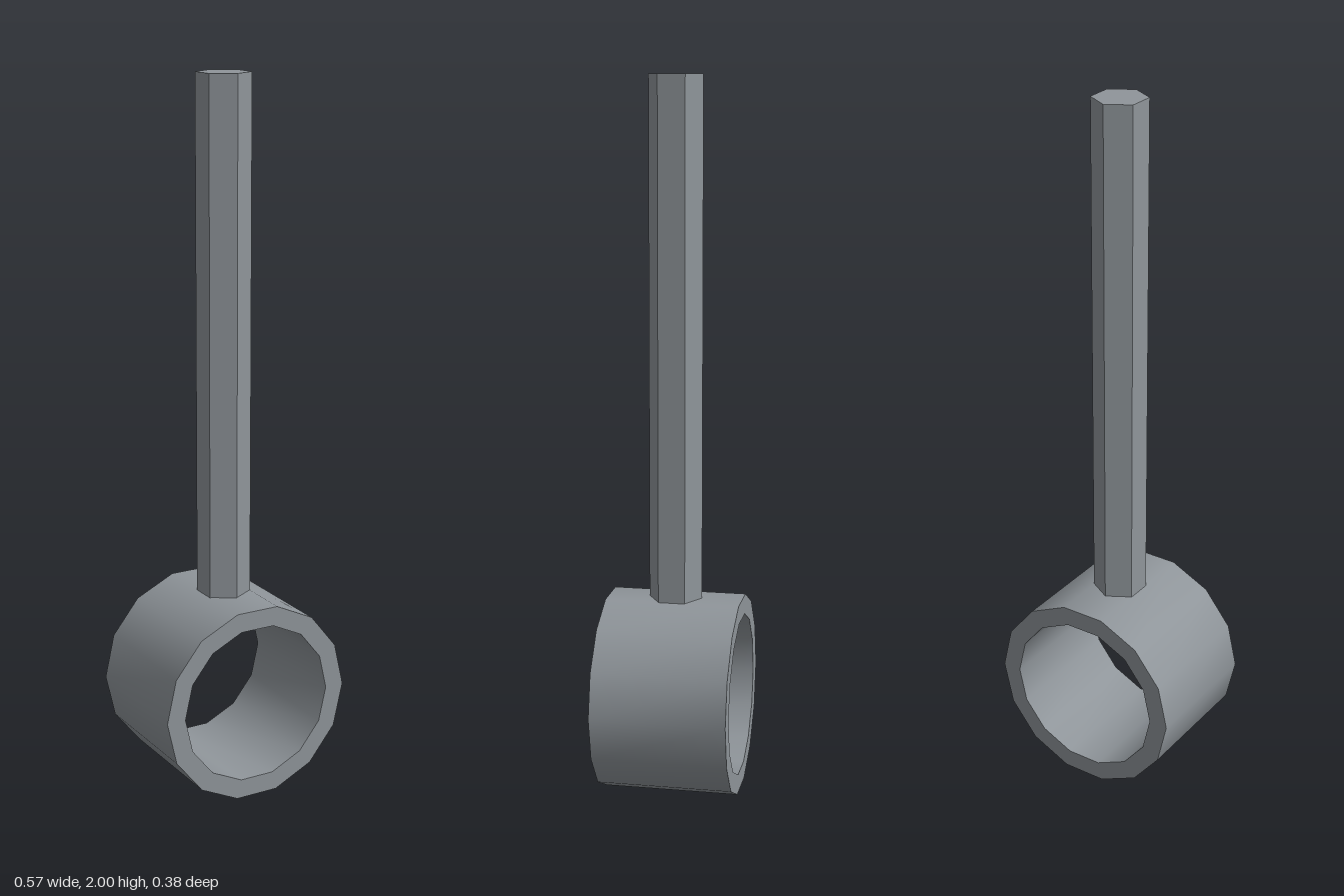
import * as THREE from 'three';
import { toCreasedNormals } from 'three/addons/utils/BufferGeometryUtils.js';

const SIDES = 14;
const OUTER = 0.284, INNER = 0.228, DEPTH = 0.378;
const CENTER_Y = OUTER * Math.cos(Math.PI / SIDES);

// Corners of a regular polygon with corners on the x axis
function polygon(radius) {
  return Array.from({ length: SIDES }, (_, i) => {
    const a = (i / SIDES) * Math.PI * 2;
    return new THREE.Vector2(radius * Math.cos(a), radius * Math.sin(a));
  });
}

export function createModel() {
  const model = new THREE.Group();
  const steel = new THREE.MeshStandardMaterial({ color: 0x8f959a });
  steel.name = 'steel grey';

  // Collar: smooth tube walls with sharp rims, axis along z
  const shape = new THREE.Shape(polygon(OUTER));
  shape.holes.push(new THREE.Path(polygon(INNER)));
  const tube = new THREE.ExtrudeGeometry(shape, { depth: DEPTH, bevelEnabled: false });
  tube.translate(0, CENTER_Y, -DEPTH / 2);
  const collar = new THREE.Mesh(toCreasedNormals(tube, 0.6), steel);
  collar.name = 'collar';
  model.add(collar);

  // Hexagonal rod, running through the collar wall
  const bottom = 0.49, top = 2;
  const hex = new THREE.CylinderGeometry(0.075, 0.075, top - bottom, 6);
  hex.translate(0, (top + bottom) / 2, 0);
  const rod = new THREE.Mesh(toCreasedNormals(hex, 0.6), steel);
  rod.name = 'rod';
  model.add(rod);

  return model;
}
